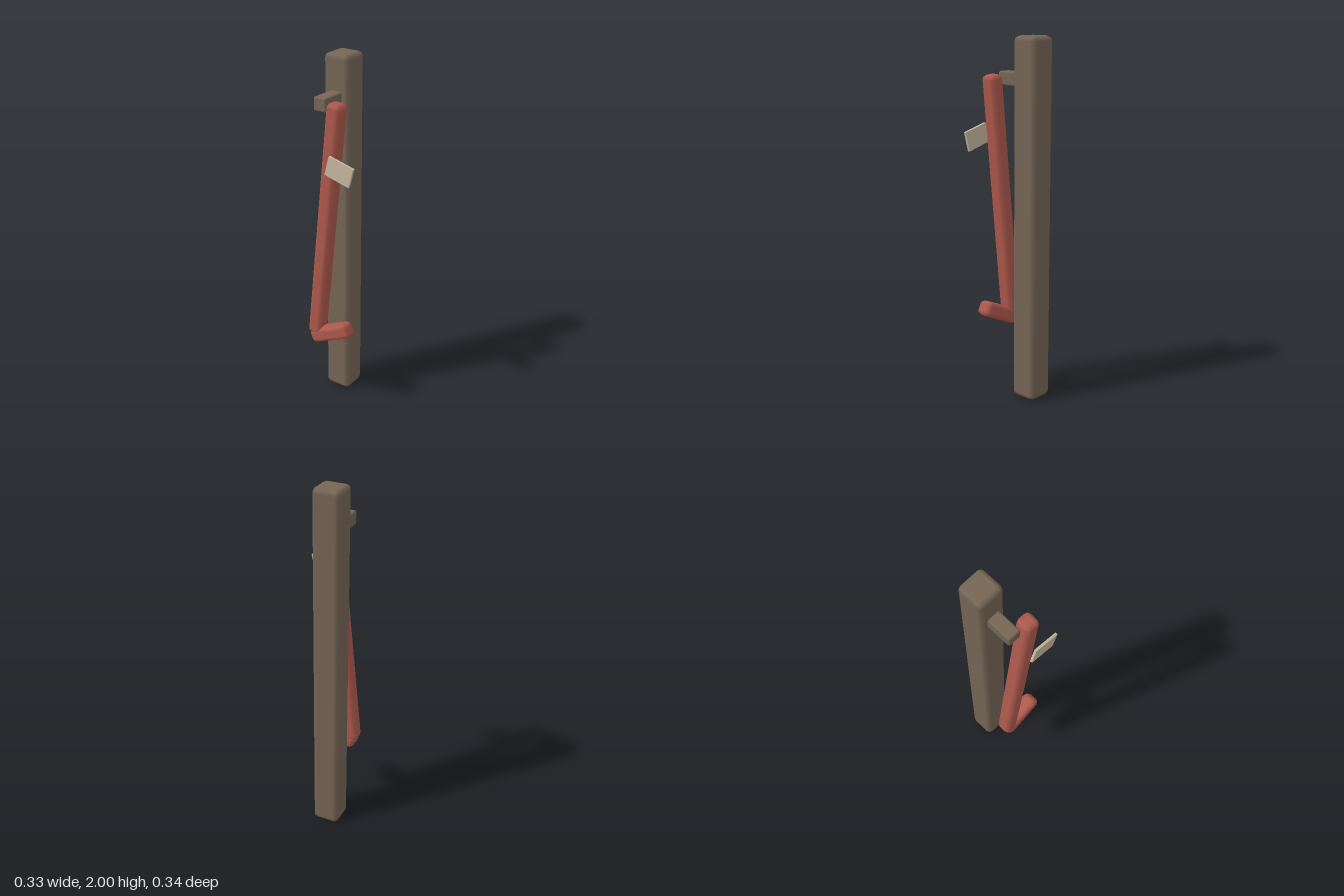
import * as THREE from 'three';
import { RoundedBoxGeometry } from 'three/addons/geometries/RoundedBoxGeometry.js';

export function createModel() {
  const model = new THREE.Group();
  const paint = (name, color) => {
    const m = new THREE.MeshStandardMaterial({ color });
    m.name = name;
    return m;
  };
  const wood = paint('brown wood', 0x756555);
  const red = paint('red paint', 0xae594c);
  const card = paint('pale card', 0xc6b79f);

  const add = (name, geometry, material, x, y, z, turn = 0) => {
    const mesh = new THREE.Mesh(geometry, material);
    mesh.name = name;
    mesh.position.set(x, y, z);
    mesh.rotation.z = turn;
    model.add(mesh);
  };

  // Bevelled square bar running between two points in the plane z
  const addBar = (name, [x0, y0], [x1, y1], z) => {
    const dx = x1 - x0, dy = y1 - y0;
    add(name, new RoundedBoxGeometry(0.086, Math.hypot(dx, dy), 0.09, 1, 0.026), red,
      (x0 + x1) / 2, (y0 + y1) / 2, z, -Math.atan2(dx, dy));
  };

  // Upright post and the peg sticking out of its front
  add('post', new RoundedBoxGeometry(0.152, 2, 0.152, 1, 0.027), wood, -0.08, 1, -0.098);
  add('peg', new RoundedBoxGeometry(0.075, 0.075, 0.157, 1, 0.01), wood, -0.08, 1.773, 0.0385);

  // Leaning pry bar with its hooked foot
  addBar('barShaft', [-0.122, 0.43], [0.02, 1.797], 0.103);
  addBar('barHook', [-0.143, 0.405], [0.096, 0.516], 0.103);

  // Tilted tag in front of the bar
  add('tag', new THREE.BoxGeometry(0.154, 0.108, 0.014), card, 0.075, 1.465, 0.164, -0.253);

  return model;
}
